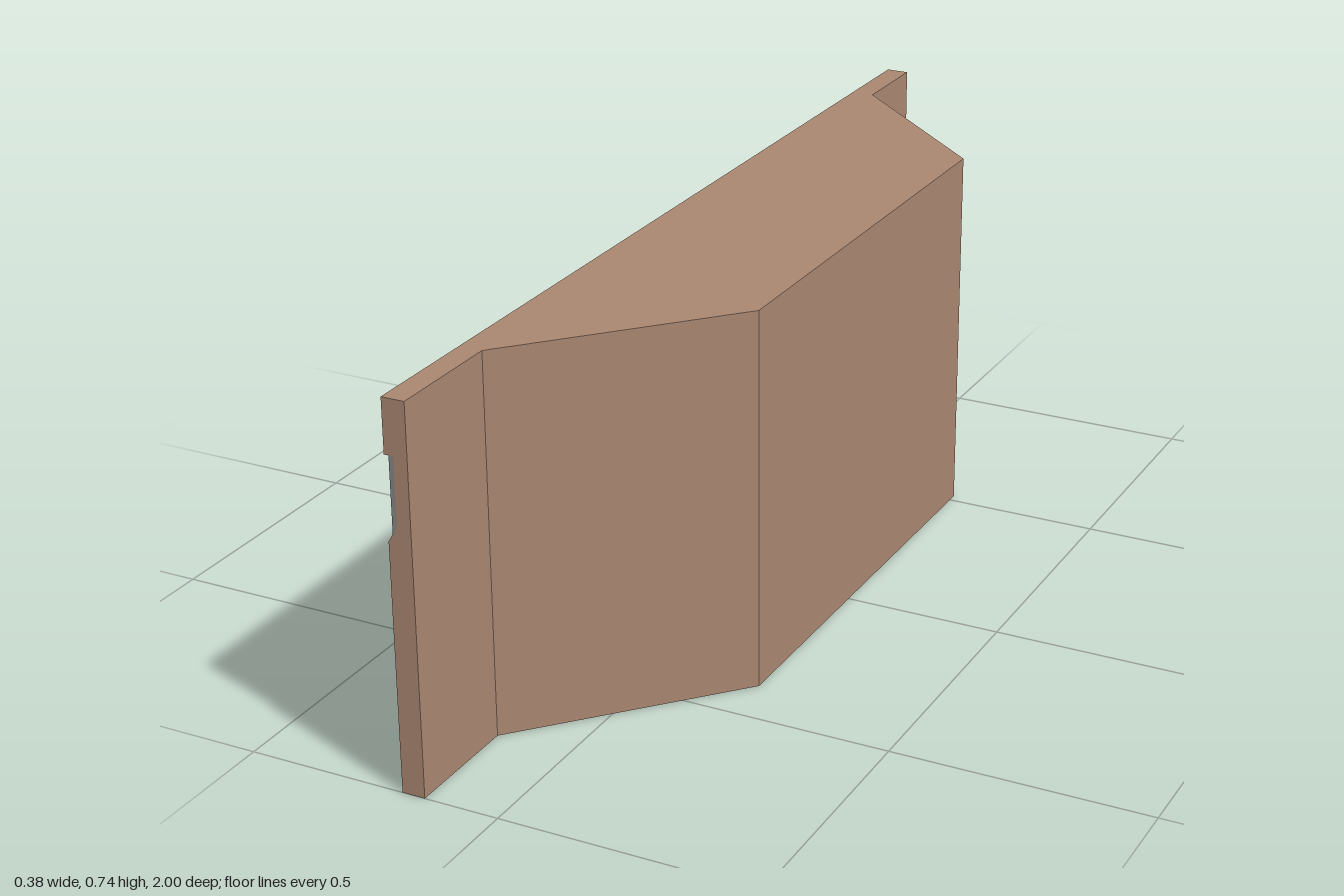
import * as THREE from 'three';

const brick = new THREE.MeshStandardMaterial({ color: 0xa88570 });
brick.name = 'brown wall';
const glass = new THREE.MeshStandardMaterial({ color: 0xa0a0a0 });
glass.name = 'grey glass';
const frame = new THREE.MeshStandardMaterial({ color: 0x858585 });
frame.name = 'grey frame';

// Rear outline of the building, as [x, z], from the -z end to the +z end
const rear = [[-0.145, -1], [-0.145, -0.82], [0.19, -0.52], [0.19, 0.39], [-0.145, 0.76], [-0.145, 1]];
// Window line around the porch
const porch = [[-0.16, -0.985], [-0.16, -0.83], [0.17, -0.52], [0.17, 0.39], [-0.16, 0.76], [-0.16, 0.98]];
const FACE = -0.19, BAND = -0.172;

export function createModel() {
  const model = new THREE.Group();
  model.name = 'building';

  function add(name, geometry, material) {
    const mesh = new THREE.Mesh(geometry, material);
    mesh.name = name;
    model.add(mesh);
    return mesh;
  }

  // Storey: a plan outline raised from y0 to y1
  function storey(name, plan, y0, y1) {
    const shape = new THREE.Shape(plan.map(([x, z]) => new THREE.Vector2(x, -z)));
    const g = new THREE.ExtrudeGeometry(shape, { depth: y1 - y0, bevelEnabled: false });
    g.rotateX(-Math.PI / 2).translate(0, y0, 0);
    add(name, g, brick);
  }

  function box(name, x0, x1, y0, y1, z0, z1, material) {
    const g = new THREE.BoxGeometry(x1 - x0, y1 - y0, z1 - z0);
    add(name, g.translate((x0 + x1) / 2, (y0 + y1) / 2, (z0 + z1) / 2), material);
  }

  // Strip of flat panels along a path, facing -x; dx shifts the lower and upper edges
  function strip(name, path, dx0, y0, dx1, y1, material) {
    const p = [];
    for (let i = 0; i < path.length - 1; i++) {
      const [ax, az] = path[i], [bx, bz] = path[i + 1];
      const a = [ax + dx0, y0, az], b = [bx + dx0, y0, bz];
      const c = [bx + dx1, y1, bz], d = [ax + dx1, y1, az];
      p.push(...a, ...b, ...c, ...a, ...c, ...d);
    }
    const g = new THREE.BufferGeometry();
    g.setAttribute('position', new THREE.Float32BufferAttribute(p, 3));
    g.computeVertexNormals();
    add(name, g, material);
  }

  // Solid storeys, with the upper one set back behind the window band
  const full = [[FACE, -1], ...rear, [FACE, 1]];
  storey('base', full, 0, 0.058);
  storey('lintel', full, 0.355, 0.48);
  storey('parapet', full, 0.638, 0.741);
  storey('upperWall', [[FACE, -1], ...rear, [BAND, 1], [BAND, -0.985], [FACE, -0.985]], 0.48, 0.638);

  // Ground storey wall wrapping the open porch
  storey('porchWall', [[FACE, -1], ...rear, [FACE, 1], [FACE, 0.98], ...[...porch].reverse(), [FACE, -0.985]], 0.058, 0.355);

  // Porch columns
  for (const z of [-0.631, 0.392]) box('column', FACE, -0.076, 0.058, 0.355, z, z + 0.11, brick);

  // Porch sill, windows and posts
  strip('porchSill', porch, -0.03, 0.058, 0, 0.13, brick);
  strip('porchGlass', porch, -0.002, 0.13, -0.002, 0.355, glass);
  for (const [x, z] of porch.slice(1, 5)) box('porchPost', x - 0.009, x, 0.13, 0.355, z - 0.006, z + 0.006, frame);

  // Upper window band: sloped sill, glass and mullions
  const wedge = new THREE.Shape([[FACE, 0.48], [BAND, 0.48], [BAND, 0.51]].map(([x, y]) => new THREE.Vector2(x, y)));
  const sill = new THREE.ExtrudeGeometry(wedge, { depth: 1.985, bevelEnabled: false });
  add('bandSill', sill.translate(0, 0, -0.985), brick);
  strip('bandGlass', [[BAND, -0.985], [BAND, 1]], -0.002, 0.505, -0.002, 0.638, glass);
  for (let i = 0; i < 23; i++) {
    const z = Math.min(-0.954 + i * 0.0893, 0.994);
    box('mullion', -0.181, BAND, 0.495, 0.638, z - 0.006, z + 0.006, frame);
  }

  return model;
}
